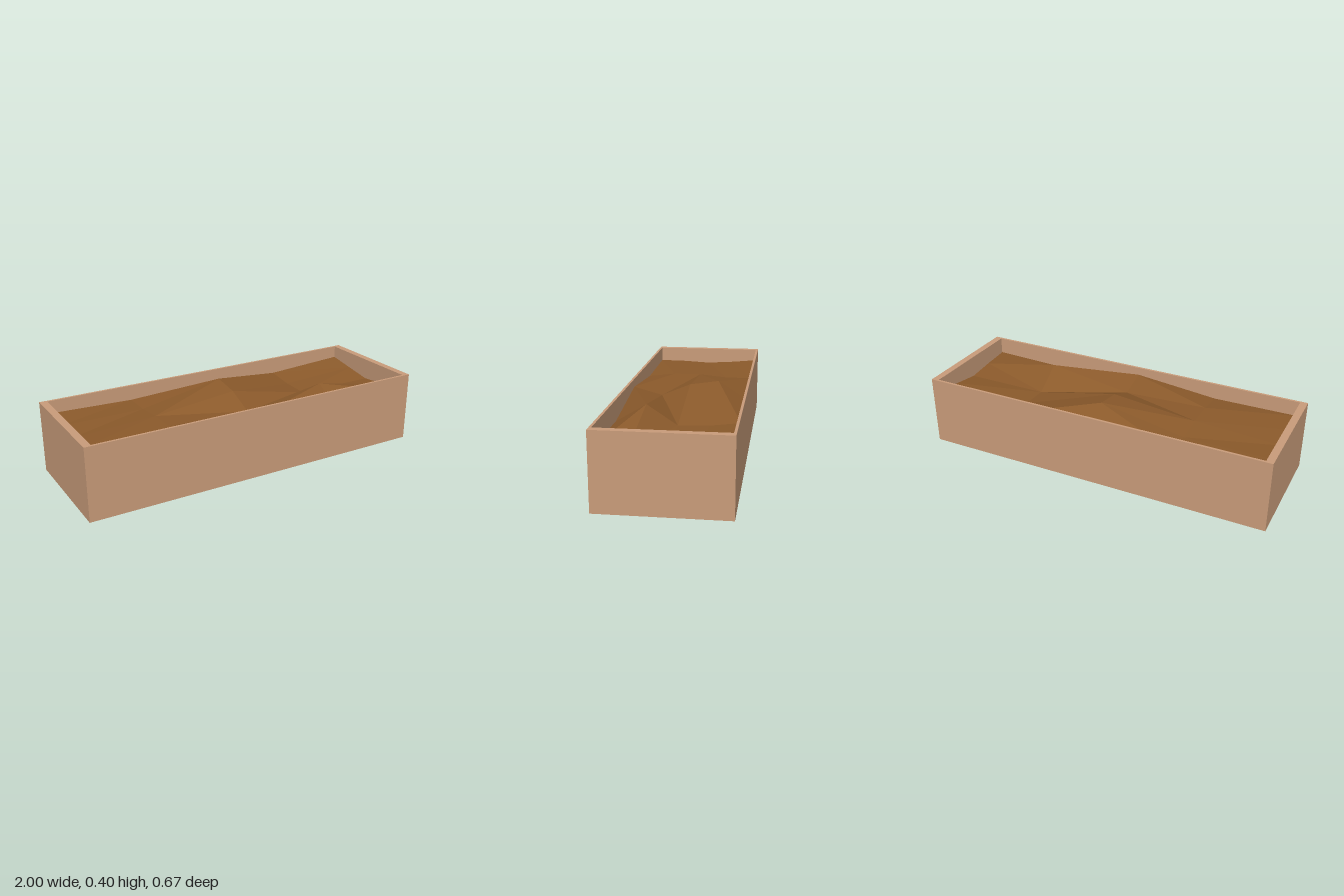
import * as THREE from 'three';

const W = 2, D = 0.667, H = 0.4, IN_W = 1.92, IN_D = 0.64, FLOOR = 0.02;

// Soil heights: rows run back to front, columns run from -x to +x
const HEIGHTS = [
  [0.33, 0.315, 0.30, 0.305, 0.33],
  [0.315, 0.315, 0.404, 0.285, 0.305],
  [0.305, 0.33, 0.38, 0.28, 0.28],
  [0.313, 0.33, 0.313, 0.386, 0.295],
  [0.315, 0.31, 0.356, 0.29, 0.305],
];
// Cell diagonals: '/' rises toward the back right, 'L' falls toward the front right
const DIAGONALS = ['/L/L', '////', '/L/L', '/L/L'];

function rect(Type, w, d) {
  const x = w / 2, y = d / 2;
  return new Type([[-x, -y], [x, -y], [x, y], [-x, y]].map(([a, b]) => new THREE.Vector2(a, b)));
}

function soilGeometry() {
  const pos = [];
  const point = (r, c) => [(c / 4 - 0.5) * IN_W, HEIGHTS[r][c], (r / 4 - 0.5) * IN_D];
  for (let r = 0; r < 4; r++) {
    for (let c = 0; c < 4; c++) {
      const a = point(r, c), b = point(r + 1, c), e = point(r + 1, c + 1), d = point(r, c + 1);
      const tris = DIAGONALS[r][c] === '/' ? [a, b, d, b, e, d] : [a, b, e, a, e, d];
      tris.forEach((p) => pos.push(...p));
    }
  }
  const geo = new THREE.BufferGeometry();
  geo.setAttribute('position', new THREE.Float32BufferAttribute(pos, 3));
  geo.computeVertexNormals();
  return geo;
}

export function createModel() {
  const wood = new THREE.MeshStandardMaterial({ color: 0xc99c7a });
  wood.name = 'lightWood';
  const earth = new THREE.MeshStandardMaterial({ color: 0x8b5a2b, flatShading: true, side: THREE.DoubleSide });
  earth.name = 'brownSoil';

  const group = new THREE.Group();
  group.name = 'planterBox';
  const add = (name, geo, mat) => {
    const mesh = new THREE.Mesh(geo, mat);
    mesh.name = name;
    group.add(mesh);
    return mesh;
  };

  // Four walls as one rectangular frame
  const frame = rect(THREE.Shape, W, D);
  frame.holes.push(rect(THREE.Path, IN_W, IN_D));
  const walls = new THREE.ExtrudeGeometry(frame, { depth: H, bevelEnabled: false });
  add('walls', walls.rotateX(-Math.PI / 2), wood);

  // Floor closing the underside
  add('floor', new THREE.BoxGeometry(IN_W, FLOOR, IN_D), wood).position.y = FLOOR / 2;

  // Uneven soil filling the box
  add('soil', soilGeometry(), earth);
  return group;
}
